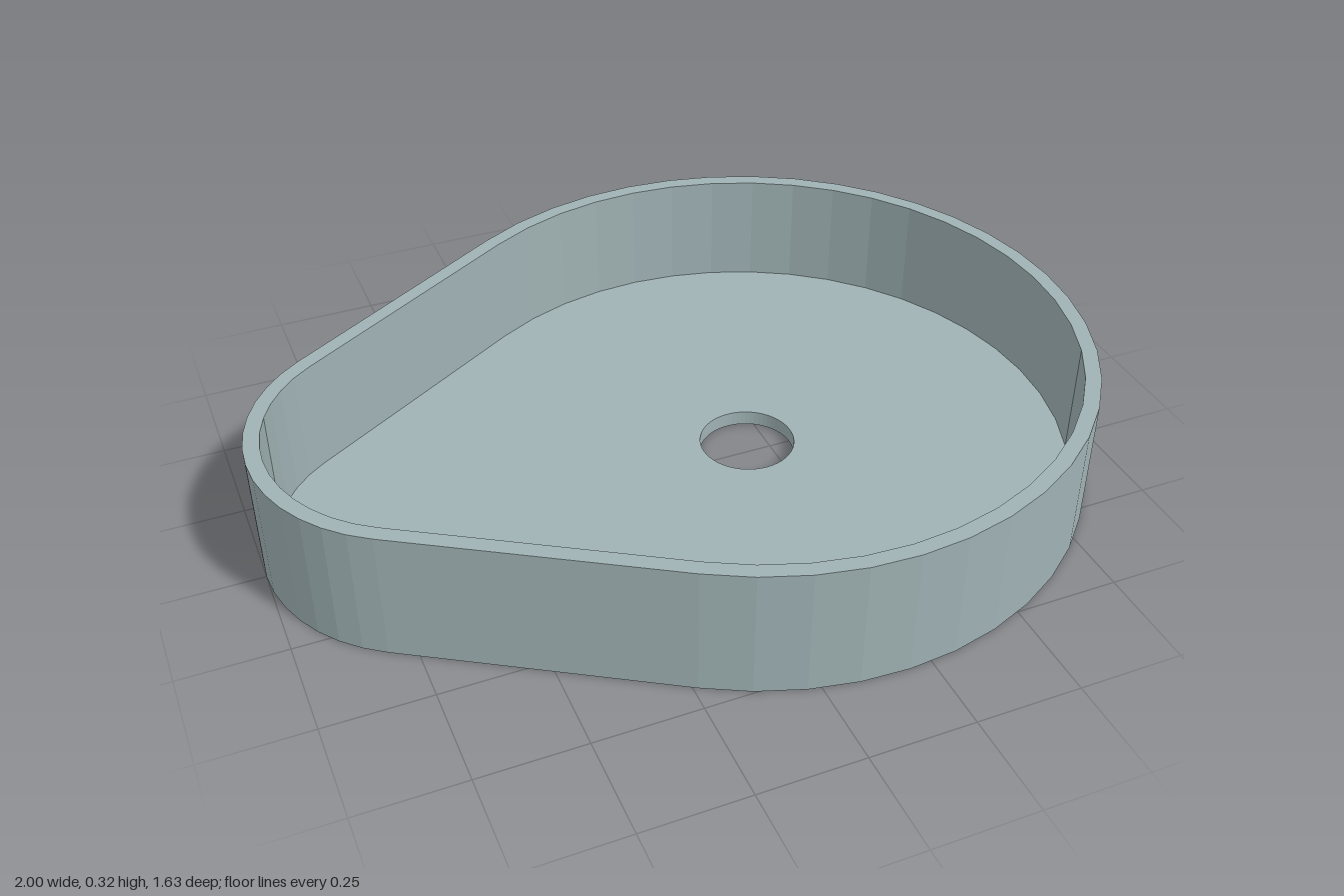
import * as THREE from 'three';

const HEIGHT = 0.32, WALL = 0.037;
const BIG = { x: 0.187, r: 0.813 };
const SMALL = { x: -0.6, r: 0.4 };
// angle by which the straight sides lean, from the two tangent circles
const LEAN = Math.asin((BIG.r - SMALL.r) / (BIG.x - SMALL.x));

// Teardrop outline: two arcs joined by tangent lines, moved in by inset
function outline(inset) {
  const points = [];
  const arc = (circle, from, to, steps) => {
    for (let i = 0; i <= steps; i++) {
      const a = from + (to - from) * i / steps;
      const r = circle.r - inset;
      points.push(new THREE.Vector2(circle.x + r * Math.cos(a), r * Math.sin(a)));
    }
  };
  const tangent = Math.PI / 2 + LEAN;
  arc(BIG, -tangent, tangent, 30);
  arc(SMALL, tangent, 2 * Math.PI - tangent, 14);
  return points;
}

// Extrude a shape upward from height y
function slab(name, shape, y, depth, material) {
  const geometry = new THREE.ExtrudeGeometry(shape, { depth, bevelEnabled: false, curveSegments: 32 });
  geometry.rotateX(-Math.PI / 2);
  geometry.translate(0, y, 0);
  const mesh = new THREE.Mesh(geometry, material);
  mesh.name = name;
  return mesh;
}

export function createModel() {
  const group = new THREE.Group();
  group.name = 'teardropTray';
  const greyGreen = new THREE.MeshStandardMaterial({ color: 0x9fb2b4 });
  greyGreen.name = 'greyGreen';

  // floor with a round drain hole
  const floor = new THREE.Shape(outline(0));
  floor.holes.push(new THREE.Path().absarc(BIG.x, 0, 0.115, 0, Math.PI * 2, true));
  group.add(slab('floor', floor, 0, WALL, greyGreen));

  // thin wall around the rim
  const wall = new THREE.Shape(outline(0));
  wall.holes.push(new THREE.Path(outline(WALL)));
  group.add(slab('wall', wall, WALL, HEIGHT - WALL, greyGreen));

  return group;
}
